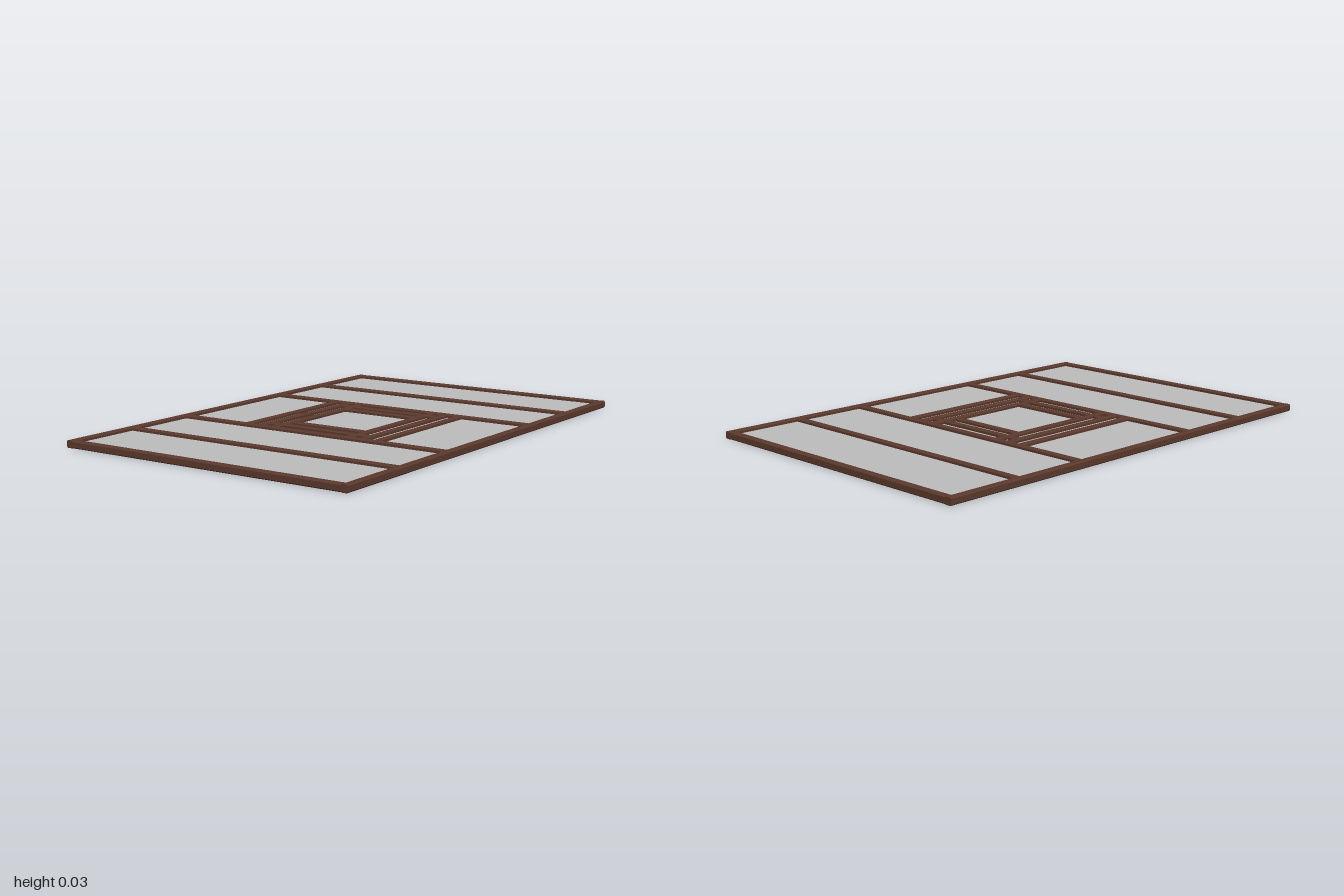
import * as THREE from 'three';

const wood = new THREE.MeshStandardMaterial({ color: 0x5c3a2e });
wood.name = 'brown wood';
const paper = new THREE.MeshStandardMaterial({ color: 0xbebebe });
paper.name = 'grey pane';

const H = 0.03; // bar height

// Straight bar with slightly chamfered long edges, running along x
function barGeometry(length, width) {
  const w = width / 2, h = H / 2, c = 0.004;
  const s = new THREE.Shape([
    [-w + c, -h], [w - c, -h], [w, -h + c], [w, h - c],
    [w - c, h], [-w + c, h], [-w, h - c], [-w, -h + c],
  ].map(([x, y]) => new THREE.Vector2(x, y)));
  const g = new THREE.ExtrudeGeometry(s, { depth: length, bevelEnabled: false });
  return g.translate(0, 0, -length / 2).rotateY(Math.PI / 2);
}

export function createModel() {
  const model = new THREE.Group();
  model.name = 'latticePanel';

  function bar(name, length, width, x, z, alongZ = false) {
    const m = new THREE.Mesh(barGeometry(length, width), wood);
    m.name = name;
    m.position.set(x, H / 2, z);
    if (alongZ) m.rotation.y = Math.PI / 2;
    model.add(m);
  }

  // Infill sheet, seen from both sides
  const pane = new THREE.Mesh(new THREE.BoxGeometry(1.3, 0.004, 1.96), paper);
  pane.name = 'pane';
  pane.position.y = H / 2;
  model.add(pane);

  for (const s of [-1, 1]) {
    // Outer frame
    bar('frameSide', 2, 0.03, s * 0.651, 0, true);
    bar('frameEnd', 1.28, 0.03, 0, s * 0.985);
    // Cross rails
    bar('outerRail', 1.28, 0.028, 0, s * 0.652);
    bar('innerRail', 1.28, 0.028, 0, s * 0.322);
    // Nested square lattice in the middle
    for (const x of [0.319, 0.252, 0.186]) bar('latticeUpright', 0.63, 0.027, s * x, 0, true);
    bar('latticeOuterBar', 0.51, 0.027, 0, s * 0.252);
    bar('latticeInnerBar', 0.38, 0.027, 0, s * 0.187);
  }
  return model;
}
